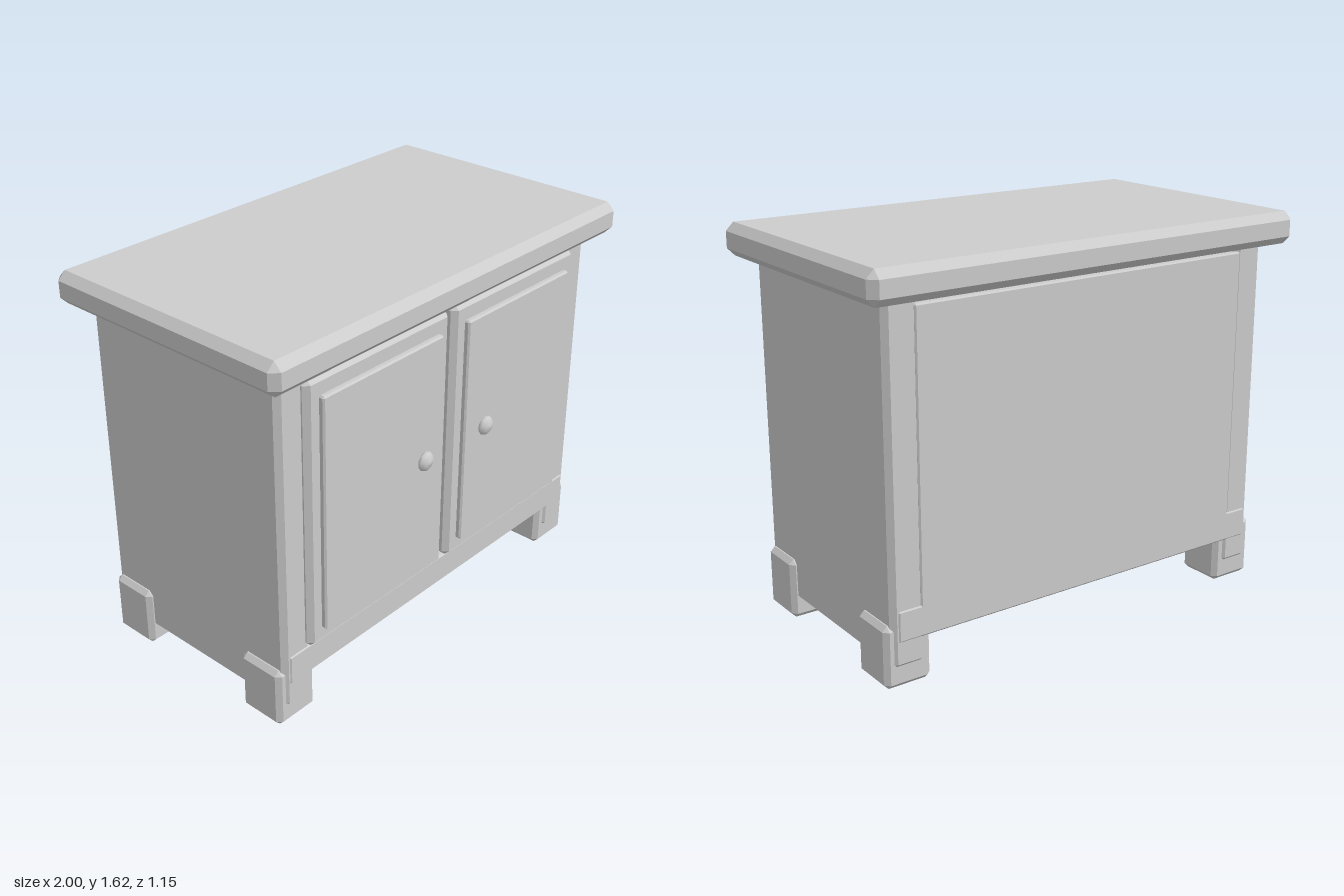
import * as THREE from 'three';
import { ConvexGeometry } from 'three/addons/geometries/ConvexGeometry.js';

// Box given by its min/max corners, with every edge bevelled by c
function bevelBox([x0, x1], [y0, y1], [z0, z1], c) {
  const half = [(x1 - x0) / 2, (y1 - y0) / 2, (z1 - z0) / 2];
  const points = [];
  for (const sx of [-1, 1]) for (const sy of [-1, 1]) for (const sz of [-1, 1]) {
    for (let axis = 0; axis < 3; axis++) {
      const h = half.map((v, i) => (i === axis ? v : v - c));
      points.push(new THREE.Vector3(sx * h[0], sy * h[1], sz * h[2]));
    }
  }
  const geometry = new ConvexGeometry(points);
  geometry.translate((x0 + x1) / 2, (y0 + y1) / 2, (z0 + z1) / 2);
  return geometry;
}

export function createModel() {
  const model = new THREE.Group();
  model.name = 'cabinet';
  const grey = new THREE.MeshStandardMaterial({ color: 0xcccccc });
  grey.name = 'light grey';

  const add = (name, geometry, parent = model) => {
    const mesh = new THREE.Mesh(geometry, grey);
    mesh.name = name;
    parent.add(mesh);
    return mesh;
  };
  // Range on the chosen side of the centre plane
  const span = (s, a, b) => (s > 0 ? [a, b] : [-b, -a]);

  // Top, base and back
  add('tableTop', bevelBox([-1, 1], [1.483, 1.617], [-0.575, 0.575], 0.033));
  add('base', bevelBox([-0.88, 0.88], [0.19, 0.32], [-0.49, 0.49], 0.008));
  add('backPanel', bevelBox([-0.78, 0.78], [0.25, 1.46], [-0.49, -0.45], 0.006));

  // Knob profile: a shallow dome with a rounded rim
  const knobProfile = [[0, 0], [0.036, 0], [0.042, 0.006], [0.038, 0.016], [0.024, 0.027], [0, 0.032]]
    .map(([r, h]) => new THREE.Vector2(r, h));

  for (const s of [-1, 1]) {
    const side = s > 0 ? 'left' : 'right';

    // Side wall
    add(side + 'SidePanel', bevelBox(span(s, 0.76, 0.905), [0.08, 1.5], [-0.485, 0.485], 0.022));

    // Feet
    for (const f of [-1, 1]) {
      add(side + (f > 0 ? 'FrontFoot' : 'BackFoot'),
        bevelBox(span(s, 0.73, 0.93), [0, 0.258], span(f, 0.268, 0.475), 0.02));
    }

    // Door with raised panel and knob
    const door = new THREE.Group();
    door.name = side + 'Door';
    model.add(door);
    add('doorFrame', bevelBox(span(s, 0.012, 0.792), [0.318, 1.458], [0.45, 0.513], 0.022), door);
    add('raisedPanel', bevelBox(span(s, 0.075, 0.73), [0.388, 1.383], [0.49, 0.535], 0.007), door);
    const knob = add('knob', new THREE.LatheGeometry(knobProfile, 10), door);
    knob.rotation.x = Math.PI / 2;
    knob.position.set(s * 0.187, 0.893, 0.545);
    const stem = add('knobStem', new THREE.CylinderGeometry(0.01, 0.01, 0.016, 8), door);
    stem.rotation.x = Math.PI / 2;
    stem.position.set(s * 0.187, 0.893, 0.54);
  }
  return model;
}
